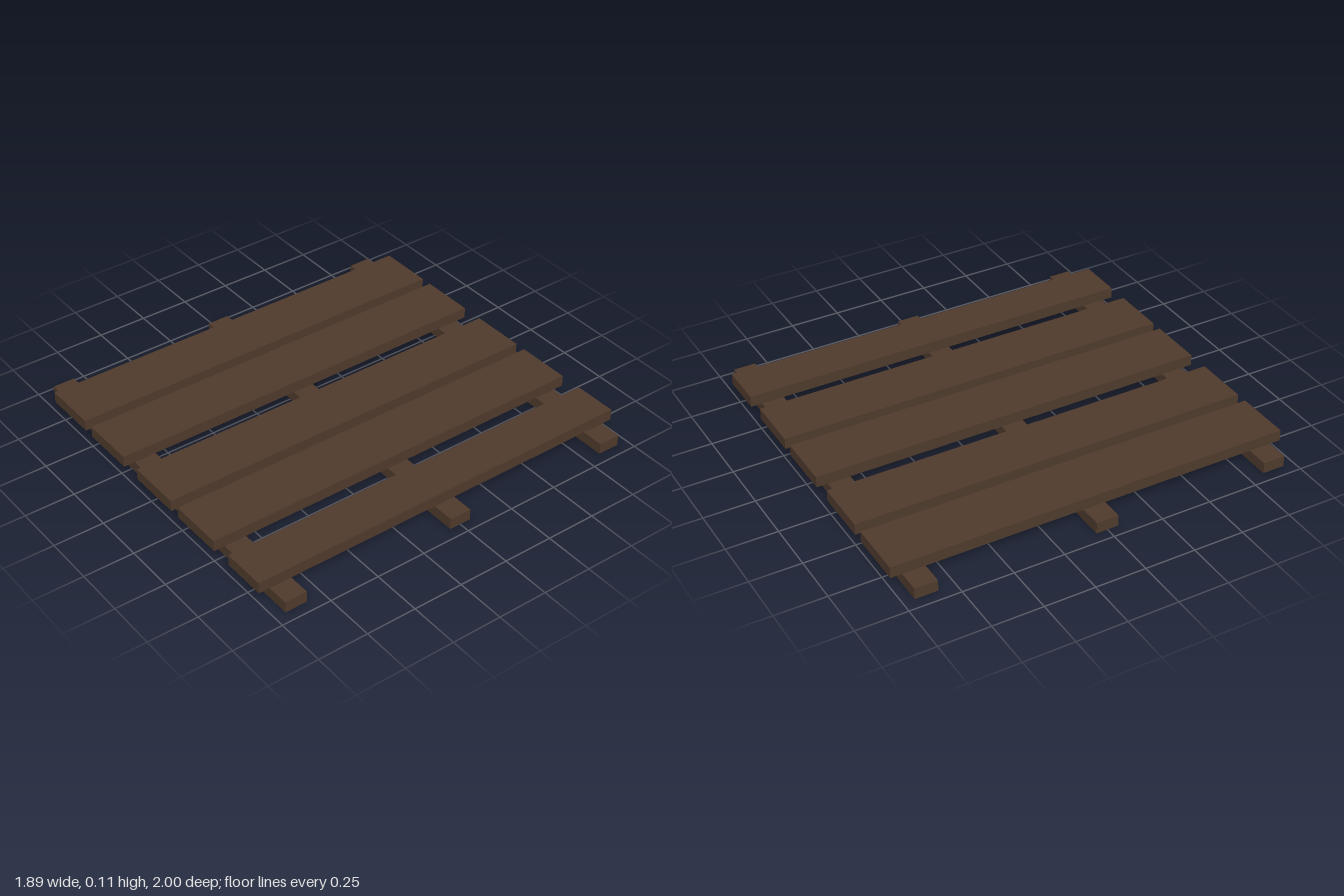
import * as THREE from 'three';

const U = 1 / 18; // board thickness, also the layout step

export function createModel() {
  const model = new THREE.Group();
  model.name = 'slattedPallet';
  const wood = new THREE.MeshStandardMaterial({ color: 0x4f3a2c });
  wood.name = 'dark brown wood';

  const addBoard = (name, width, depth, x, y, z) => {
    const board = new THREE.Mesh(new THREE.BoxGeometry(width, U, depth), wood);
    board.name = name;
    board.position.set(x, y, z);
    model.add(board);
  };

  // Three cross beams resting on the ground
  [-16, 0, 16].forEach((z, i) => addBoard(`crossBeam${i + 1}`, 34 * U, 2 * U, 0, U / 2, z * U));

  // Five unevenly spaced planks on top: [left edge, right edge] in layout steps
  [[-15, -10], [-9, -4], [-2, 3], [4, 9], [11, 15]].forEach(([a, b], i) =>
    addBoard(`plank${i + 1}`, (b - a) * U, 2, ((a + b) / 2) * U, 1.5 * U, 0));

  return model;
}
